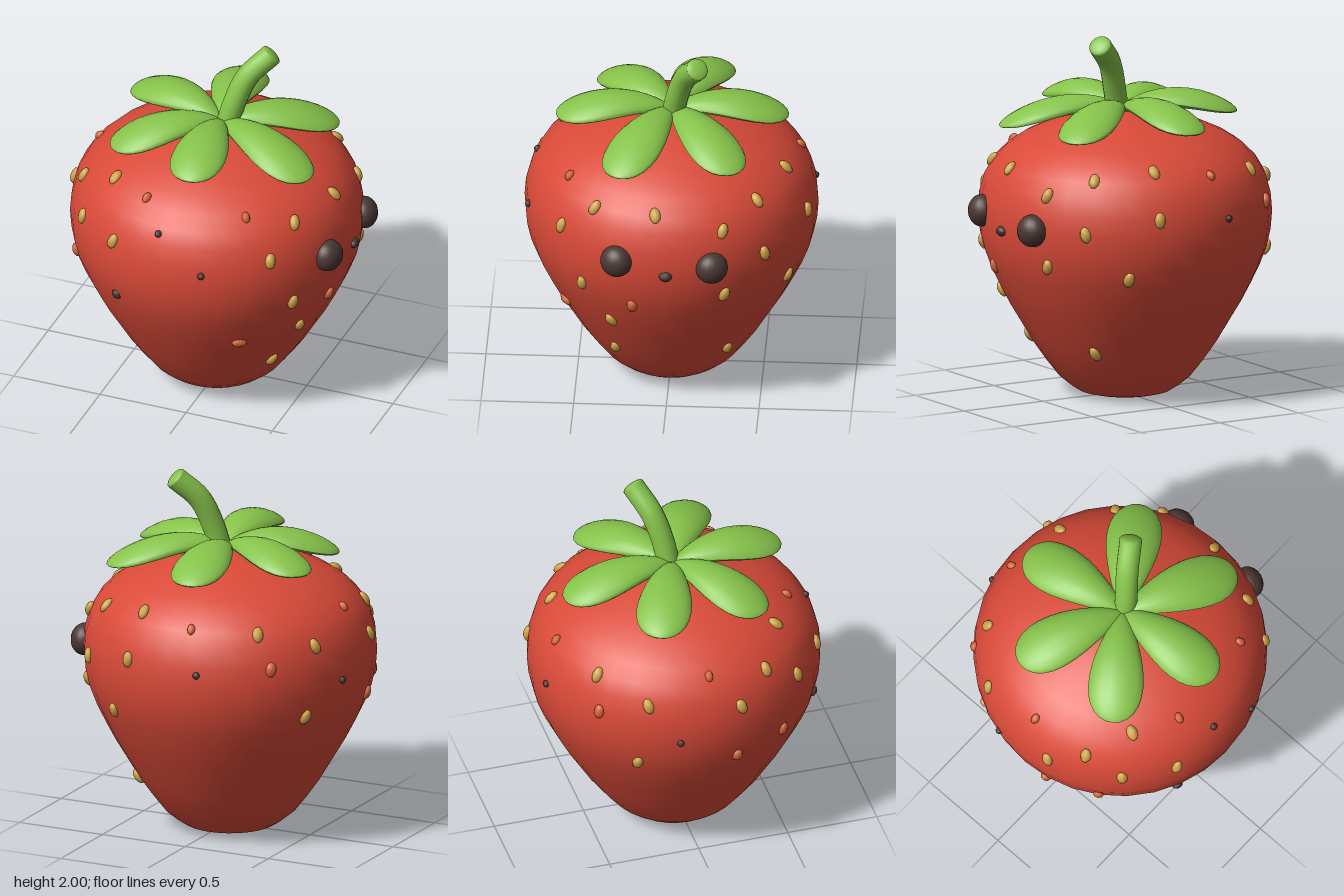
import * as THREE from 'three';

const mat = (name, color) => Object.assign(new THREE.MeshStandardMaterial({ color }), { name });
const CX = -0.02; // body axis

// Body outline as [radius, height]
const PROFILE = [[0.2, 0.005], [0.25, 0.018], [0.3, 0.05], [0.36, 0.1], [0.43, 0.19], [0.5, 0.29], [0.565, 0.4],
  [0.625, 0.5], [0.677, 0.6], [0.725, 0.7], [0.763, 0.8], [0.785, 0.9], [0.793, 1.0], [0.785, 1.1], [0.757, 1.2],
  [0.71, 1.28], [0.64, 1.35], [0.55, 1.41], [0.44, 1.46], [0.31, 1.505], [0.16, 1.545]];

// Radius and outline slope of the body at a height
function bodyAt(y) {
  let i = 0;
  while (i < PROFILE.length - 2 && PROFILE[i + 1][1] < y) i++;
  const [r0, y0] = PROFILE[i], [r1, y1] = PROFILE[i + 1];
  const slope = (r1 - r0) / (y1 - y0);
  return { r: r0 + slope * (y - y0), slope };
}

// Sets an ellipsoid on the skin: width, height, depth are half sizes, roll turns it on the skin
function stud(name, material, x, y, z, w, h, d, roll = 0) {
  const { r, slope } = bodyAt(y);
  const a = Math.atan2(x - CX, z);
  const normal = new THREE.Vector3(Math.sin(a), -slope, Math.cos(a)).normalize();
  const side = new THREE.Vector3(Math.cos(a), 0, -Math.sin(a));
  const up = normal.clone().cross(side);
  const big = w > 0.06;
  const mesh = new THREE.Mesh(new THREE.SphereGeometry(1, big ? 20 : 8, big ? 14 : 6), material);
  mesh.name = name;
  mesh.scale.set(w, h, d);
  mesh.position.set(CX + r * Math.sin(a), y, r * Math.cos(a));
  mesh.quaternion.setFromRotationMatrix(new THREE.Matrix4().makeBasis(side, up, normal));
  mesh.rotateZ(roll);
  return mesh;
}

// Arched, rounded leaf growing along +z, narrow at the base
function leafGeometry(length, tipY) {
  const geo = new THREE.SphereGeometry(1, 18, 16);
  geo.rotateX(Math.PI / 2);
  const p = geo.attributes.position;
  for (let i = 0; i < p.count; i++) {
    const t = (p.getZ(i) + 1) / 2;
    const x = p.getX(i) * 0.168 * (0.42 + 0.78 * t);
    const spine = 1.565 + (tipY - 1.565) * t + 0.26 * t * (1 - t);
    p.setXYZ(i, x, spine + p.getY(i) * 0.047 - x * x * 1.4, t * length);
  }
  geo.computeVertexNormals();
  return geo;
}

export function createModel() {
  const red = mat('berry red', 0xd94a38);
  const green = mat('leaf green', 0x86c34a);
  const gold = mat('seed gold', 0xd0a548);
  const orange = mat('seed orange', 0xd9683c);
  const dark = mat('dark brown', 0x4a3733);
  const model = new THREE.Group();
  model.name = 'strawberry';
  const add = (name, geo, material) => {
    const mesh = new THREE.Mesh(geo, material);
    mesh.name = name;
    model.add(mesh);
    return mesh;
  };

  // Berry body
  const outline = [[0, 0], ...PROFILE, [0, 1.56]].map(([r, y]) => new THREE.Vector2(r, y));
  add('body', new THREE.LatheGeometry(outline, 32), red).position.x = CX;

  // Leaves: tip x, tip z, tip height
  const leaves = [[-0.08, -0.63, 1.51], [0.54, -0.37, 1.48], [0.61, 0.27, 1.48],
    [0.06, 0.62, 1.55], [-0.49, 0.37, 1.5], [-0.58, -0.24, 1.53]];
  for (const [x, z, tipY] of leaves) {
    add('leaf', leafGeometry(Math.hypot(x, z), tipY), green).rotation.y = Math.atan2(x, z);
  }

  // Stem with a rounded end
  const path = new THREE.CatmullRomCurve3([[0.03, 1.52, -0.01], [0.062, 1.66, -0.03], [0.125, 1.83, -0.08],
    [0.232, 1.948, -0.152]].map((q) => new THREE.Vector3(...q)));
  add('stem', new THREE.TubeGeometry(path, 14, 0.062, 14), green);
  const end = add('stemEnd', new THREE.SphereGeometry(0.062, 14, 10), green);
  end.position.copy(path.getPoint(1));
  end.quaternion.setFromUnitVectors(new THREE.Vector3(0, 1, 0), path.getTangent(1));
  end.scale.y = 0.35;

  // Face
  model.add(stud('eye', dark, 0.72, 1.03, 0.255, 0.088, 0.088, 0.075));
  model.add(stud('eye', dark, 0.72, 1.005, -0.255, 0.088, 0.088, 0.075));
  model.add(stud('mouth', dark, 0.77, 0.965, -0.01, 0.036, 0.028, 0.028));

  // Seeds as x, y, z on the skin
  const goldSeeds = [[-0.66, 1.26, 0.33], [-0.44, 1.37, 0.47], [0.58, 1.275, 0.38], [0.67, 1.29, 0.05],
    [-0.59, 1.13, 0.53], [-0.34, 1.13, 0.7], [-0.78, 1.13, 0.16], [0.51, 1.12, 0.56], [0.6, 0.815, 0.45],
    [0.59, 0.575, 0.3], [0.41, 0.31, 0.28], [0.47, 1.29, -0.48], [0.18, 1.33, -0.61], [0.66, 1.2, -0.31],
    [0.57, 1.01, -0.54], [0.22, 1.09, -0.74], [0.69, 0.81, -0.33], [0.38, 0.3, -0.33], [0.37, 0.76, -0.67],
    [-0.46, 1.27, -0.55], [-0.7, 1.18, -0.34], [-0.65, 0.79, -0.38]];
  const orangeSeeds = [[-0.2, 1.37, 0.61], [0.36, 1.34, 0.53], [-0.67, 0.84, 0.43], [-0.77, 0.8, 0.14],
    [0.72, 0.735, 0.18], [0.33, 0.55, 0.55], [-0.69, 1.31, 0], [-0.13, 1.29, -0.68], [-0.55, 1.09, -0.57]];
  const darkSeeds = [[-0.07, 1.25, 0.71], [0.19, 1.06, 0.76], [-0.32, 0.79, 0.68],
    [-0.2, 1.06, -0.77], [-0.77, 0.96, -0.18]];
  goldSeeds.forEach(([x, y, z], i) =>
    model.add(stud('goldSeed', gold, x, y, z, 0.03, 0.045, 0.025, 0.35 * Math.sin(i * 2.3))));
  orangeSeeds.forEach(([x, y, z], i) => {
    const s = y > 1.2 ? 0.75 : 1;
    model.add(stud('orangeSeed', orange, x, y, z, 0.03 * s, 0.042 * s, 0.024, i === 5 ? 1.4 : 0.3 * Math.sin(i * 3.1)));
  });
  darkSeeds.forEach(([x, y, z]) => {
    const s = y < 0.9 ? 0.03 : 0.02;
    model.add(stud('darkSeed', dark, x, y, z, s, s, 0.02));
  });
  return model;
}
